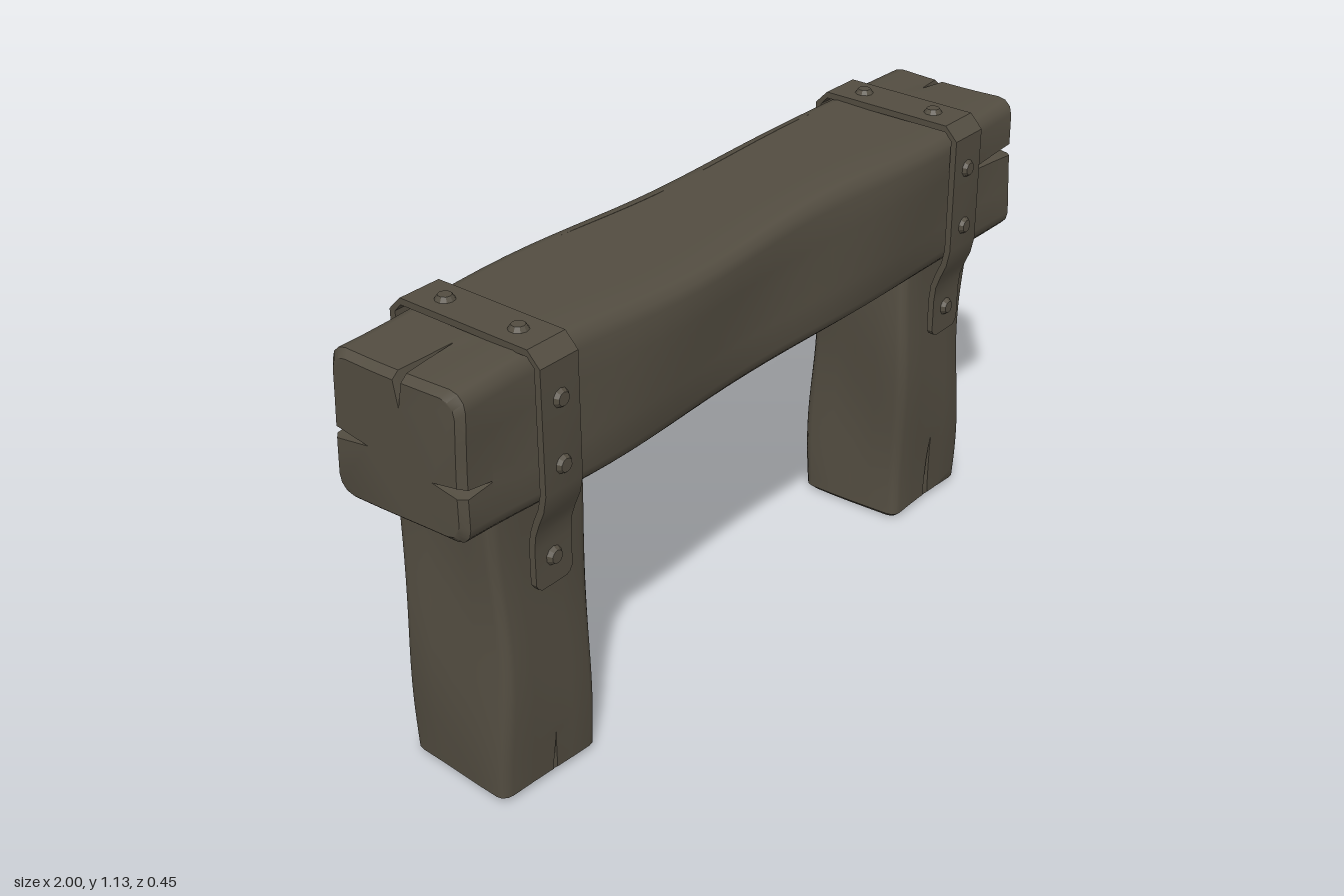
import * as THREE from 'three';
import { toCreasedNormals } from 'three/addons/utils/BufferGeometryUtils.js';

const weathered = new THREE.MeshStandardMaterial({ color: 0x534d41 });
weathered.name = 'weatheredBrown';

// Skin a list of closed rings; capY gives the y direction each end cap faces
function loft(rings, capY, crease) {
  const n = rings[0].length;
  const pos = rings.flat().flatMap((p) => [p.x, p.y, p.z]);
  const index = [];
  for (let j = 0; j < rings.length - 1; j++) {
    for (let i = 0; i < n; i++) {
      const a = j * n + i, b = j * n + ((i + 1) % n);
      index.push(a, a + n, b, b, a + n, b + n);
    }
  }
  [0, rings.length - 1].forEach((j, end) => {
    const flat = rings[j].map((p) => new THREE.Vector2(p.x, p.z));
    for (const [a, b, c] of THREE.ShapeUtils.triangulateShape(flat, [])) {
      const u = flat[b].clone().sub(flat[a]), v = flat[c].clone().sub(flat[a]);
      const up = u.y * v.x - u.x * v.y;
      const tri = up * capY[end] > 0 ? [a, b, c] : [a, c, b];
      index.push(...tri.map((k) => k + j * n));
    }
  });
  const g = new THREE.BufferGeometry();
  g.setAttribute('position', new THREE.Float32BufferAttribute(pos, 3));
  g.setIndex(index);
  return toCreasedNormals(g, crease);
}

// Hewn timber along +y. Sides: 0 = +x, 1 = +z, 2 = -x, 3 = -z.
// Cracks: { side, at (offset along side), t (height of deepest point), len, depth, w }
function timber({ length, hx, hz, r, bevel, amp, freq, seed, cracks }) {
  const ts = [0, bevel];
  for (let i = 1; i < 28; i++) ts.push(bevel + ((length - 2 * bevel) * i) / 28);
  ts.push(length - bevel, length);
  const rings = ts.map((t) => {
    const pts = [];
    for (let k = 0; k < 4; k++) {
      const ang = (k * Math.PI) / 2;
      const nx = Math.round(Math.cos(ang)), nz = Math.round(Math.sin(ang));
      const out = k % 2 ? hz : hx, half = (k % 2 ? hx : hz) - r;
      const row = [-1, -0.5, 0, 0.5, 1].map((s) => [s * half, 0]);
      for (const c of cracks.filter((q) => q.side === k)) {
        const open = Math.max(0, 1 - Math.abs(t - c.t) / c.len);
        const w = c.w * Math.max(open, 0.15);
        row.push([c.at - w, 0], [c.at, c.depth * open], [c.at + w, 0]);
      }
      row.sort((a, b) => a[0] - b[0]);
      for (const [s, d] of row) pts.push([nx * (out - d) - nz * s, nz * (out - d) + nx * s]);
      for (const f of [1 / 3, 2 / 3]) {
        const a = ang + (f * Math.PI) / 2;
        const cx = (nx - nz) * (hx - r), cz = (nz + nx) * (hz - r);
        pts.push([cx + r * Math.cos(a), cz + r * Math.sin(a)]);
      }
    }
    const tip = t === 0 || t === length;
    return pts.map(([x, z]) => {
      const u = x / hx, v = z / hz;
      const dx = u * amp * Math.sin(freq * t + seed + 2 * Math.sign(u) + 1.3 * v);
      const dz = v * amp * Math.sin(freq * 1.2 * t + seed * 2 + 2 * Math.sign(v) + 1.3 * u);
      return new THREE.Vector3(
        (x + dx) * (tip ? 1 - bevel / hx : 1), t, (z + dz) * (tip ? 1 - bevel / hz : 1));
    });
  });
  return loft(rings, [-1, 1], 0.7);
}

function add(parent, name, geometry) {
  const mesh = new THREE.Mesh(geometry, weathered);
  mesh.name = name;
  parent.add(mesh);
  return mesh;
}

// Bent metal band: centre line in (z, y), mirrored front to back
function strapGeometry() {
  const half = [
    [0.166, 0.535, 0.038], [0.166, 0.541, 0.048], [0.166, 0.553, 0.056], [0.166, 0.64, 0.056],
    [0.17, 0.68, 0.056], [0.182, 0.715, 0.056], [0.197, 0.75, 0.056], [0.205, 0.79, 0.056],
    [0.205, 1.085, 0.056], [0.179, 1.112, 0.056],
  ];
  const path = [...half, ...half.slice().reverse().map(([z, y, w]) => [-z, y, w])];
  const rings = path.map(([z, y, w], i) => {
    const p = path[Math.max(i - 1, 0)], q = path[Math.min(i + 1, path.length - 1)];
    const l = Math.hypot(q[0] - p[0], q[1] - p[1]);
    const nz = ((q[1] - p[1]) / l) * 0.008, ny = (-(q[0] - p[0]) / l) * 0.008;
    return [[w, 1], [-w, 1], [-w, -1], [w, -1]].map(
      ([x, s]) => new THREE.Vector3(x, y + ny * s, z + nz * s));
  });
  return loft(rings, [-1, -1], 0.5);
}

function strap(name, x) {
  const g = new THREE.Group();
  g.name = name;
  g.position.x = x;
  add(g, 'band', strapGeometry());
  const head = toCreasedNormals(new THREE.CylinderGeometry(0.016, 0.025, 0.014, 10), 0.5);
  for (const s of [1, -1]) {
    for (const [y, z] of [[1, 0.216], [0.845, 0.216], [0.605, 0.178]]) {
      const m = add(g, 'rivet', head);
      m.position.set(0, y, s * z);
      m.rotation.x = (s * Math.PI) / 2;
    }
    add(g, 'topRivet', head).position.set(0, 1.124, s * 0.104);
  }
  return g;
}

export function createModel() {
  const model = new THREE.Group();
  model.name = 'hewnBarrier';

  // Crossbeam: built upright, then laid along x (side 0 = underside, 2 = top)
  const beam = timber({
    length: 2, hx: 0.179, hz: 0.191, r: 0.042, bevel: 0.016, amp: 0.008, freq: 6, seed: 1,
    cracks: [
      { side: 1, at: 0.04, t: 2, len: 0.22, depth: 0.11, w: 0.017 },
      { side: 3, at: 0, t: 2, len: 0.14, depth: 0.12, w: 0.013 },
      { side: 2, at: 0.04, t: 2, len: 0.07, depth: 0.06, w: 0.014 },
      { side: 0, at: 0.05, t: 2, len: 0.1, depth: 0.04, w: 0.014 },
      { side: 1, at: -0.05, t: 0, len: 0.08, depth: 0.08, w: 0.014 },
      { side: 3, at: 0.03, t: 0, len: 0.12, depth: 0.1, w: 0.015 },
      { side: 2, at: -0.02, t: 0, len: 0.15, depth: 0.07, w: 0.013 },
      { side: 2, at: 0.145, t: 0.82, len: 0.16, depth: 0.012, w: 0.008 },
      { side: 2, at: 0.145, t: 1.35, len: 0.16, depth: 0.012, w: 0.008 },
    ],
  });
  beam.rotateZ(-Math.PI / 2);
  add(model, 'crossbeam', beam).position.set(-1, 0.92, -0.003);

  // Posts with split feet
  [[-0.745, 'rightPost', 2, 0.11, 0.008], [0.737, 'leftPost', 4.5, 0.2, 0.016]].forEach(
    ([x, name, seed, len, w]) => {
      const post = timber({
        length: 0.77, hx: 0.143, hz: 0.15, r: 0.026, bevel: 0.014, amp: 0.008, freq: 8, seed,
        cracks: [
          { side: 1, at: -0.005, t: 0, len, depth: 0.05, w },
          { side: 3, at: 0.03, t: 0, len: 0.08, depth: 0.05, w: 0.014 },
          { side: 0, at: 0.1, t: 0.32, len: 0.1, depth: 0.012, w: 0.005 },
        ],
      });
      add(model, name, post).position.set(x, 0, -0.005);
    });

  // Riveted straps
  model.add(strap('rightStrap', -0.745), strap('leftStrap', 0.735));
  return model;
}
